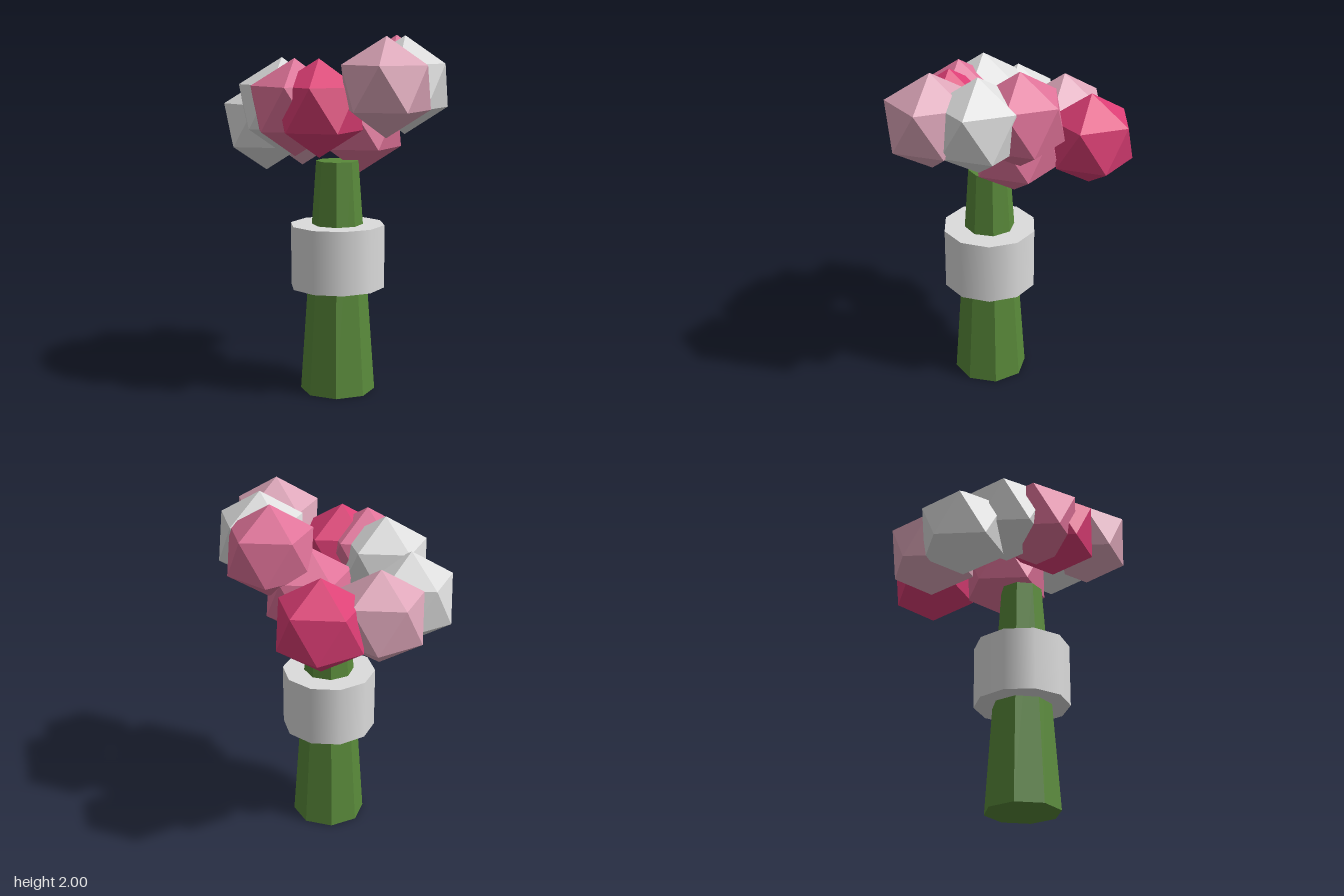
import * as THREE from 'three';

const mat = (name, color) => {
  const m = new THREE.MeshStandardMaterial({ color });
  m.name = name;
  return m;
};

export function createModel() {
  const group = new THREE.Group();
  group.name = 'bouquet';

  const green = mat('stem green', 0x59893a);
  const grey = mat('light grey', 0xdcdcdc);
  const pale = mat('pale pink', 0xdda6b9);
  const pink = mat('rose pink', 0xde7298);
  const magenta = mat('magenta', 0xdb3d74);

  const add = (name, geometry, material, x, y, z) => {
    const mesh = new THREE.Mesh(geometry, material);
    mesh.name = name;
    mesh.position.set(x, y, z);
    group.add(mesh);
  };

  // Faceted, tapered bundle of stems
  const stem = new THREE.CylinderGeometry(0.118, 0.21, 1.312, 8).toNonIndexed();
  stem.computeVertexNormals();
  add('stem', stem, green, -0.1, 0.656, 0.03);

  // Smooth-sided wrap around the stems
  add('wrap', new THREE.CylinderGeometry(0.267, 0.267, 0.355, 10), grey, -0.1, 0.778, 0.03);

  // Flower heads: icosahedrons turned to stand on a corner
  const bloom = new THREE.IcosahedronGeometry(0.265, 0);
  bloom.rotateZ(-Math.atan(2 / (1 + Math.sqrt(5))));

  const blooms = [
    // upper front cluster
    [pale, -0.15, 1.735, 0.46],
    [grey, 0.086, 1.735, 0.367],
    [pink, 0.212, 1.735, 0.18],
    // middle left cluster
    [pink, -0.353, 1.615, -0.034],
    [magenta, -0.306, 1.615, 0.11],
    [grey, -0.304, 1.615, -0.197],
    // lower back cluster
    [magenta, 0.353, 1.495, -0.295],
    [pale, 0.07, 1.495, -0.46],
    [pink, 0.072, 1.495, 0.03],
    [grey, -0.231, 1.495, -0.43],
  ];
  blooms.forEach(([material, x, y, z], i) => add(`bloom${i + 1}`, bloom, material, x, y, z));

  return group;
}
